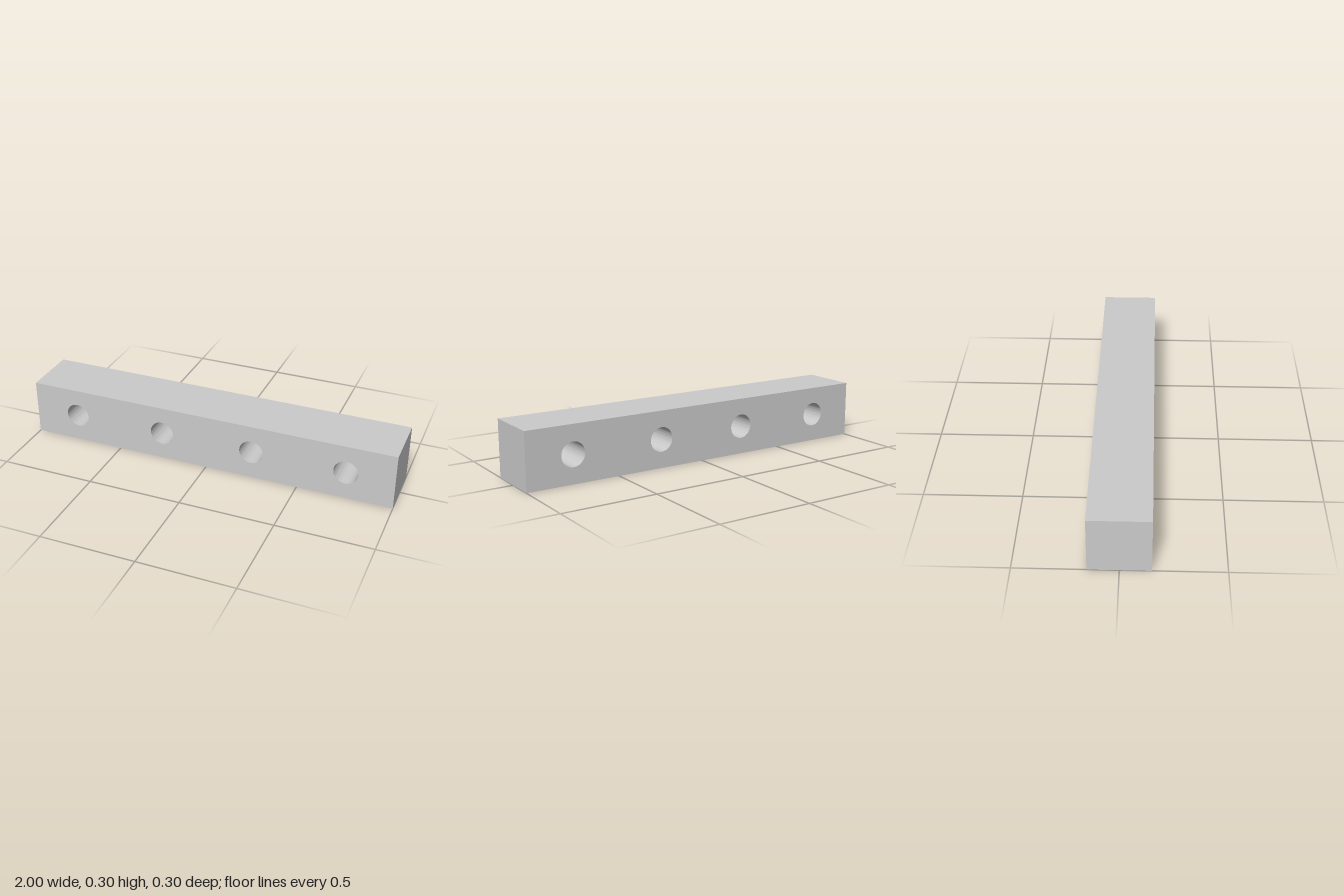
import * as THREE from 'three';
import { toCreasedNormals } from 'three/addons/utils/BufferGeometryUtils.js';

const LENGTH = 2, SIZE = 0.3, HOLE_RADIUS = 0.064, HOLE_COUNT = 4;

export function createModel() {
  const group = new THREE.Group();
  group.name = 'drilledBar';

  // Front outline of the square bar
  const outline = new THREE.Shape();
  outline.moveTo(-LENGTH / 2, 0);
  outline.lineTo(LENGTH / 2, 0);
  outline.lineTo(LENGTH / 2, SIZE);
  outline.lineTo(-LENGTH / 2, SIZE);
  outline.closePath();

  // Evenly spaced round through-holes
  const pitch = LENGTH / HOLE_COUNT;
  for (let i = 0; i < HOLE_COUNT; i++) {
    const x = -LENGTH / 2 + pitch * (i + 0.5);
    const hole = new THREE.Path();
    hole.absarc(x, SIZE / 2, HOLE_RADIUS, 0, Math.PI * 2, true);
    outline.holes.push(hole);
  }

  // Extrude through the depth; smooth bores, sharp edges
  const geometry = new THREE.ExtrudeGeometry(outline, {
    depth: SIZE, bevelEnabled: false, curveSegments: 32,
  });
  geometry.translate(0, 0, -SIZE / 2);

  const bar = new THREE.Mesh(
    toCreasedNormals(geometry, Math.PI / 6),
    new THREE.MeshStandardMaterial({ color: 0xcccccc }),
  );
  bar.name = 'bar';
  group.add(bar);
  return group;
}
